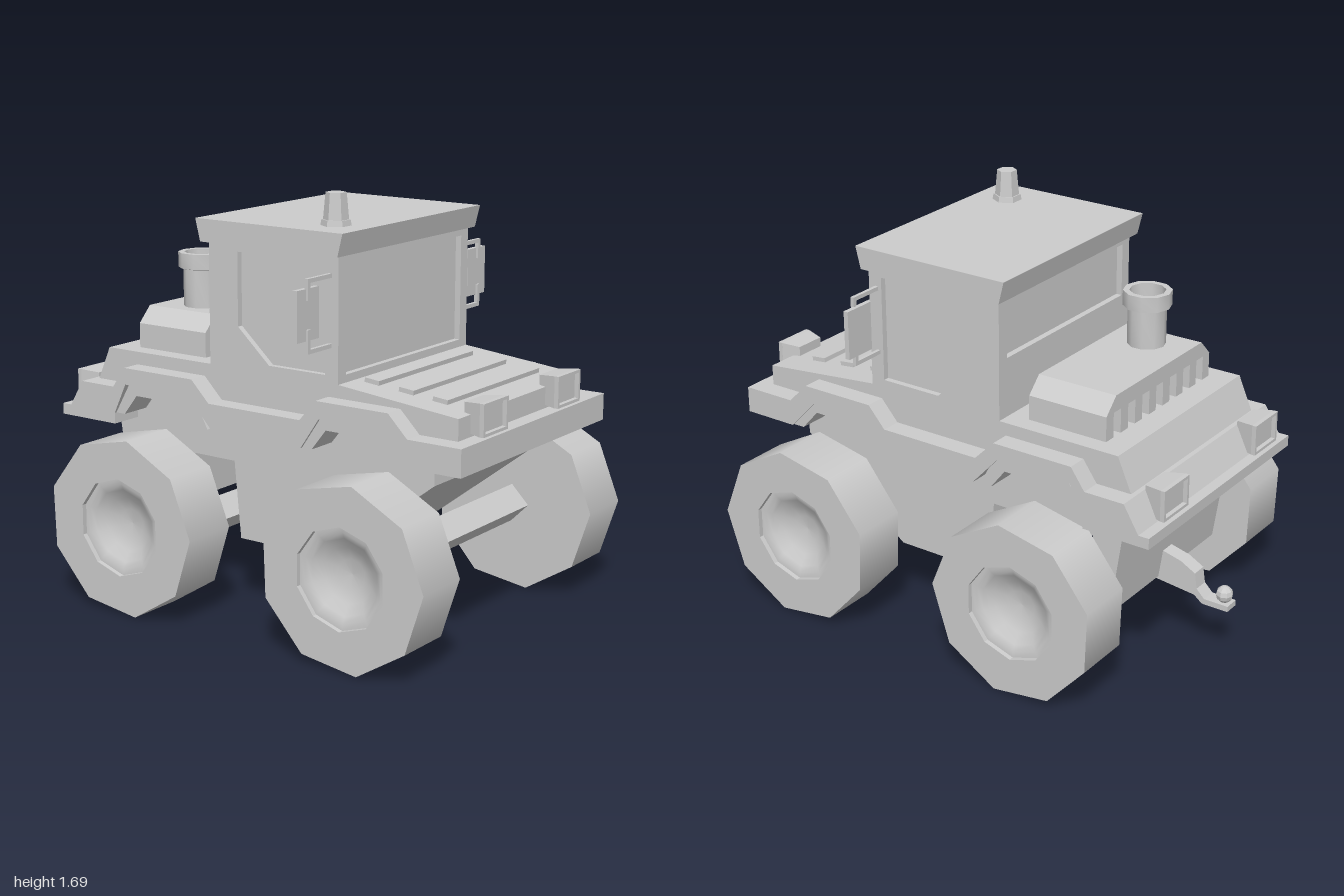
import * as THREE from 'three';
import { toCreasedNormals } from 'three/addons/utils/BufferGeometryUtils.js';

const grey = new THREE.MeshStandardMaterial({ color: 0xcccccc, side: THREE.DoubleSide });
const flat = new THREE.MeshStandardMaterial({ color: 0xcccccc, flatShading: true, side: THREE.DoubleSide });

function add(parent, name, geo, mat = flat) {
  const m = new THREE.Mesh(geo, mat);
  m.name = name;
  parent.add(m);
  return m;
}

// Box given by its limits
function box(x0, x1, y0, y1, z0, z1) {
  return new THREE.BoxGeometry(x1 - x0, y1 - y0, z1 - z0)
    .translate((x0 + x1) / 2, (y0 + y1) / 2, (z0 + z1) / 2);
}

// Box centred on the origin whose +y or +z end is scaled by sx and so
function taper(w, h, d, axis, sx, so) {
  const g = new THREE.BoxGeometry(w, h, d), p = g.attributes.position;
  for (let i = 0; i < p.count; i++) {
    if (axis === 'y' && p.getY(i) > 0) p.setXYZ(i, p.getX(i) * sx, p.getY(i), p.getZ(i) * so);
    if (axis === 'z' && p.getZ(i) > 0) p.setXYZ(i, p.getX(i) * sx, p.getY(i) * so, p.getZ(i));
  }
  return g;
}

const points = (list) => list.map(([a, b]) => new THREE.Vector2(a, b));
const rect = (a0, a1, b0, b1) => [[a0, b0], [a1, b0], [a1, b1], [a0, b1]];

function outlineShape(outline, hole) {
  const s = new THREE.Shape(points(outline));
  if (hole) s.holes.push(new THREE.Path(points(hole)));
  return s;
}

const plate = (outline, depth, hole) =>
  new THREE.ExtrudeGeometry(outlineShape(outline, hole), { depth, bevelEnabled: false }).translate(0, 0, -depth / 2);

// Side profile in (z, y), extruded across x and centred on x = 0
const sideProfile = (outline, width, hole) => plate(outline, width, hole).rotateY(-Math.PI / 2);

function ring(n, r, start) {
  return Array.from({ length: n }, (_, i) => {
    const a = start + (i * 2 * Math.PI) / n;
    return [r * Math.sin(a), r * Math.cos(a)];
  });
}

// Nine-sided tyre with a ten-sided dished hub on its outer side
function makeWheel(side, z) {
  const wheel = new THREE.Group();
  wheel.name = (side > 0 ? 'left' : 'right') + (z > 0 ? 'FrontWheel' : 'RearWheel');
  const start = 0.14 * side, w = 0.24, r = 0.364, outline = ring(9, r, -start);
  add(wheel, 'tread', new THREE.CylinderGeometry(r, r, w, 9, 1, true, Math.PI + start).rotateX(Math.PI / 2), grey);
  add(wheel, 'sidewall', new THREE.ShapeGeometry(outlineShape(outline, ring(10, 0.2, 0))).translate(0, 0, w / 2));
  add(wheel, 'innerWall', new THREE.ShapeGeometry(outlineShape(outline)).translate(0, 0, -w / 2));
  add(wheel, 'hubRim', new THREE.CylinderGeometry(0.2, 0.2, 0.02, 10, 1, true)
    .rotateX(Math.PI / 2).translate(0, 0, w / 2 - 0.01));
  const dish = points([[0, -0.085], [0.06, -0.08], [0.11, -0.06], [0.15, -0.032], [0.175, -0.021], [0.2, -0.02]]);
  add(wheel, 'hubDish', new THREE.LatheGeometry(dish, 10).rotateX(Math.PI / 2).translate(0, 0, w / 2), grey);
  wheel.rotation.y = (side * Math.PI) / 2;
  wheel.position.set(side * 0.611, 0.362, z);
  return wheel;
}

function makeCab() {
  const cab = new THREE.Group();
  cab.name = 'cab';
  add(cab, 'cabCore', box(-0.425, 0.425, 0.9, 1.49, -0.185, 0.38));
  // walls with recessed windows
  const door = [[0.345, 1.457], [-0.07, 1.457], [-0.07, 1.165], [0.08, 1.03], [0.345, 1.03]];
  for (const s of [-1, 1])
    add(cab, 'sideWall', sideProfile(rect(-0.21, 0.405, 0.9, 1.49), 0.025, door)).position.x = s * 0.4375;
  add(cab, 'frontWall', plate(rect(-0.45, 0.45, 0.9, 1.49), 0.025, rect(-0.4, 0.4, 1.03, 1.457))).position.z = 0.3925;
  add(cab, 'rearWall', plate(rect(-0.45, 0.45, 0.9, 1.49), 0.025, rect(-0.4, 0.4, 1.24, 1.457))).position.z = -0.1975;
  // roof flares forward and back towards its top
  add(cab, 'roof', taper(0.957, 0.09, 0.65, 'y', 1, 1.07)).position.set(0, 1.53, 0.095);

  // beacon
  add(cab, 'beaconBase', new THREE.CylinderGeometry(0.055, 0.06, 0.025, 6).rotateY(Math.PI / 6)).position.set(-0.315, 1.585, 0.297);
  add(cab, 'beacon', new THREE.CylinderGeometry(0.04, 0.05, 0.11, 6).rotateY(Math.PI / 6)).position.set(-0.315, 1.645, 0.297);

  // mirrors on bent square rods
  for (const s of [-1, 1]) {
    const mirror = new THREE.Group();
    mirror.name = s > 0 ? 'leftMirror' : 'rightMirror';
    add(mirror, 'mirrorPlate', box(-0.0675, 0.0675, 1.185, 1.38, 0.345, 0.365)).position.x = s * 0.585;
    for (const [y, end] of [[1.41, 1.345], [1.145, 1.22]]) {
      const x = s * 0.59, lo = Math.min(y, end), hi = Math.max(y, end);
      add(mirror, 'rod', box(Math.min(s * 0.44, x), Math.max(s * 0.44, x), y - 0.008, y + 0.008, 0.36, 0.375));
      add(mirror, 'rodEnd', box(x - 0.008, x + 0.008, lo - 0.008, hi + 0.008, 0.36, 0.375));
    }
    cab.add(mirror);
  }
  return cab;
}

function makeEngine() {
  const engine = new THREE.Group();
  engine.name = 'engineCover';
  add(engine, 'engineBase', box(-0.375, 0.375, 0.98, 1.1, -0.605, -0.295));
  add(engine, 'engineLid', taper(0.75, 0.065, 0.345, 'y', 0.827, 1)).position.set(0, 1.1325, -0.4675);
  // grille bars between the vents
  for (let i = 0; i < 8; i++) {
    const x = -0.35 + i * 0.1;
    add(engine, 'grilleBar', box(x - 0.025, x + 0.025, 0.98, 1.1, -0.64, -0.6));
  }
  // open exhaust stack
  const stack = points([[0.077, 1.16], [0.077, 1.32], [0.097, 1.325], [0.097, 1.387], [0.072, 1.387], [0.07, 1.27], [0, 1.27]]);
  add(engine, 'exhaust', toCreasedNormals(new THREE.LatheGeometry(stack, 10), 0.7), grey).position.set(-0.186, 0, -0.463);
  return engine;
}

export function createModel() {
  const model = new THREE.Group();
  model.name = 'tractor';
  for (const z of [0.628, -0.438]) for (const s of [-1, 1]) model.add(makeWheel(s, z));

  // axles
  add(model, 'frontAxle', new THREE.BoxGeometry(1.0, 0.11, 0.11).rotateX(Math.PI / 4)).position.set(0, 0.362, 0.628);
  add(model, 'rearAxle', new THREE.BoxGeometry(1.0, 0.11, 0.11).rotateX(Math.PI / 4)).position.set(0, 0.27, -0.438);

  const body = new THREE.Group();
  body.name = 'body';
  body.position.x = 0.0225;
  model.add(body);

  // hull with a cavity over the rear axle
  add(body, 'hull', sideProfile([[0.8, 0.85], [0.8, 0.66], [0.32, 0.29], [-0.11, 0.29], [-0.14, 0.605], [-0.6, 0.605],
    [-0.62, 0.29], [-0.68, 0.29], [-0.745, 0.73], [-0.745, 0.85]], 0.785));
  // stepped fender band over both axles
  add(body, 'fenders', sideProfile([
    [1, 0.863], [0.77, 0.863], [0.685, 0.948], [0.36, 0.948], [0.285, 0.863], [-0.155, 0.863], [-0.24, 0.948],
    [-0.59, 0.948], [-0.65, 0.863], [-0.82, 0.863], [-0.885, 0.755], [-0.93, 0.755], [-0.93, 0.71], [-0.645, 0.71],
    [-0.645, 0.755], [-0.585, 0.88], [-0.255, 0.88], [-0.14, 0.755], [0.29, 0.755], [0.375, 0.88],
    [0.645, 0.88], [0.765, 0.755], [1, 0.755]], 1.065));
  // inner arch just inside the band
  for (const [z, a, b] of [[0.525, 0.115, 0.12], [-0.41, 0.125, 0.17]])
    add(body, 'innerArch', sideProfile([[z + 0.24, 0.755], [z + b, 0.885], [z - 0.16, 0.885], [z - 0.235, 0.755],
      [z - 0.19, 0.755], [z - 0.125, 0.838], [z + a, 0.838], [z + 0.19, 0.755]], 1.045));
  // sloping bonnet and rear deck
  add(body, 'bonnet', sideProfile([[0.935, 0.84], [0.935, 0.947], [0.4, 1], [-0.74, 1], [-0.81, 0.84]], 0.9));
  for (const z of [0.4775, 0.6325, 0.7825]) {
    const slat = add(body, 'bonnetSlat', new THREE.BoxGeometry(0.67, 0.03, 0.065));
    slat.position.set(0, 1.003 - (z - 0.4) * 0.099, z);
    slat.rotation.x = 0.099;
  }

  // lamps widen towards the lens, which sits in a shallow frame
  for (const s of [-1, 1]) {
    const lamp = (name, w, x, y, z, back) => {
      const g = new THREE.Group();
      g.name = name;
      add(g, 'housing', taper(w * 0.76, 0.11, 0.078, 'z', 1.31, 1.14)).position.z = -0.006;
      add(g, 'rim', plate(rect(-w / 2, w / 2, -0.0627, 0.0627), 0.018,
        rect(-w / 2 + 0.012, w / 2 - 0.012, -0.051, 0.051))).position.z = 0.042;
      g.position.set(x, y, z);
      if (back) g.rotation.y = Math.PI;
      model.add(g);
    };
    lamp('headlight', 0.172, s * 0.272, 0.934, 0.948, false);
    lamp('tailLight', 0.175, s * 0.342, 0.825, -0.866, true);
  }

  body.add(makeCab(), makeEngine());

  // tow hitch with ball
  const hitch = new THREE.Group();
  hitch.name = 'hitch';
  add(hitch, 'hitchArm', sideProfile([[-0.66, 0.42], [-0.78, 0.39], [-0.845, 0.355], [-0.855, 0.29], [-0.89, 0.255],
    [-0.995, 0.255], [-0.995, 0.232], [-0.88, 0.232], [-0.845, 0.26], [-0.66, 0.28]], 0.065));
  add(hitch, 'hitchStem', new THREE.CylinderGeometry(0.016, 0.016, 0.05, 8)).position.set(0, 0.265, -0.962);
  add(hitch, 'hitchBall', new THREE.SphereGeometry(0.035, 8, 6)).position.set(0, 0.287, -0.962);
  body.add(hitch);
  return model;
}
